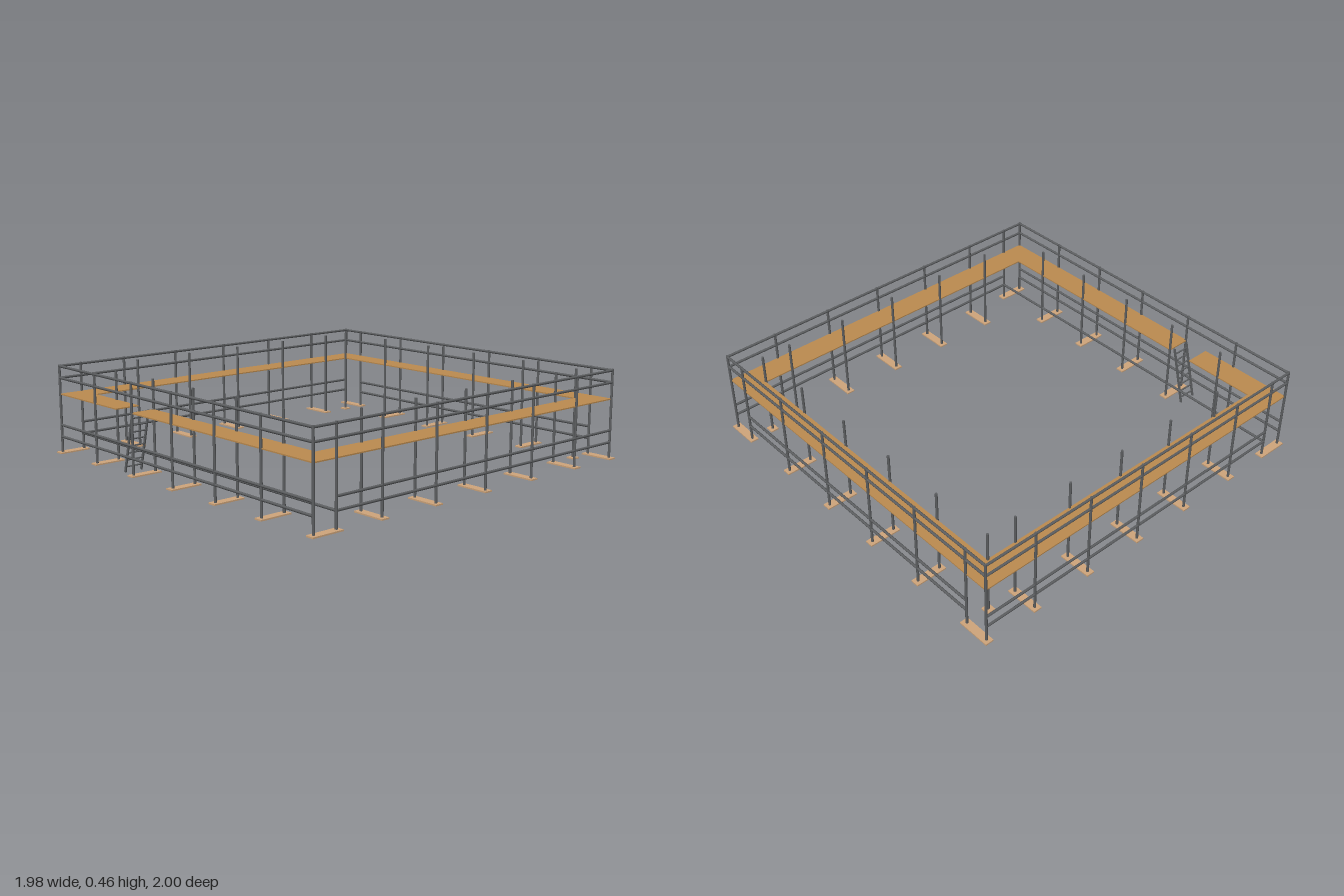
import * as THREE from 'three';

export function createModel() {
  const root = new THREE.Group();
  const mat = (color) => new THREE.MeshStandardMaterial({ color });
  const steel = mat(0x5c5e60), deckWood = mat(0xbd8c50), soleWood = mat(0xd0a67c);

  // Outer and inner tube lines of the walkway
  const X = 0.968, XI = 0.84, ZF = 0.976, ZFI = 0.853, ZB = -0.98, ZBI = -0.857;
  const TOP = 0.455, DECK = 0.305, R = 0.0065;

  const group = (name) => {
    const g = new THREE.Group();
    g.name = name;
    root.add(g);
    return g;
  };
  const posts = group('posts'), plates = group('solePlates'), guard = group('guardRails');
  const ledgers = group('lowerRails'), deck = group('deck'), ladder = group('ladder');

  function tube(parent, name, a, b, r = R) {
    const p = new THREE.Vector3(...a), q = new THREE.Vector3(...b);
    const mesh = new THREE.Mesh(new THREE.CylinderGeometry(r, r, p.distanceTo(q), 10), steel);
    mesh.position.copy(p).lerp(q, 0.5);
    mesh.quaternion.setFromUnitVectors(new THREE.Vector3(0, 1, 0), q.sub(p).normalize());
    mesh.name = name;
    parent.add(mesh);
  }
  // Box from its x, y and z ranges
  function slab(parent, name, x0, x1, y0, y1, z0, z1, material) {
    const mesh = new THREE.Mesh(new THREE.BoxGeometry(x1 - x0, y1 - y0, z1 - z0), material);
    mesh.position.set((x0 + x1) / 2, (y0 + y1) / 2, (z0 + z1) / 2);
    mesh.name = name;
    parent.add(mesh);
  }
  // One or two posts standing on a shared plate
  function frame(xa, za, xb, zb) {
    const m = 0.0215;
    slab(plates, 'solePlate', Math.min(xa, xb) - m, Math.max(xa, xb) + m, 0, 0.007,
      Math.min(za, zb) - m, Math.max(za, zb) + m, soleWood);
    tube(posts, 'post', [xa, 0.004, za], [xa, TOP, za]);
    if (xa !== xb || za !== zb) tube(posts, 'post', [xb, 0.004, zb], [xb, TOP, zb]);
  }

  // Post pairs along the four runs
  for (const x of [-0.64, -0.32, 0, 0.32, 0.64]) frame(x, ZF, x, ZFI);
  for (const x of [-0.505, -0.168, 0.168, 0.505]) frame(x, ZB, x, ZBI);
  for (const s of [-1, 1]) {
    for (const z of [-0.7, -0.375, -0.053, 0.27, 0.595]) frame(s * X, z, s * XI, z);
    // Corners
    frame(s * X, ZF, s * X, ZFI);
    frame(s * X, ZB, s * XI, ZB);
    frame(s * XI, ZBI, s * XI, ZBI);
  }

  // Guard rails right round the outside
  for (const y of [0.388, 0.448]) {
    for (const z of [ZF, ZB]) tube(guard, 'guardRail', [-X, y, z], [X, y, z]);
    for (const s of [-1, 1]) tube(guard, 'guardRail', [s * X, y, ZB], [s * X, y, ZF]);
  }

  // Lower rails on the outside, open at the ends of the corner frames
  for (const y of [0.086, 0.146]) {
    tube(ledgers, 'lowerRail', [-X, y, ZF], [X, y, ZF]);
    tube(ledgers, 'lowerRail', [-XI, y, ZB], [XI, y, ZB]);
    for (const s of [-1, 1]) tube(ledgers, 'lowerRail', [s * X, y, ZB], [s * X, y, ZFI]);
  }
  // Inner ledger behind the ladder run
  tube(ledgers, 'innerRail', [-X, 0.086, ZFI], [X, 0.086, ZFI]);

  // Deck boards, with the ladder opening in the front run
  const D = DECK - 0.004, U = DECK + 0.002;
  slab(deck, 'backDeck', -X, X, D, U, ZB, -0.86, deckWood);
  slab(deck, 'frontDeckRight', -X, -0.455, D, U, 0.85, ZF, deckWood);
  slab(deck, 'frontDeckLeft', -0.325, X, D, U, 0.85, ZF, deckWood);
  for (const s of [-1, 1]) {
    const a = s * X, b = s * 0.838;
    slab(deck, 'sideDeck', Math.min(a, b), Math.max(a, b), D, U, -0.86, 0.85, deckWood);
  }

  // Leaning ladder
  const x0 = -0.413, x1 = -0.335, yTop = 0.303, zNear = 0.962, zFar = 0.872;
  const lean = Math.atan2(x1 - x0, yTop);
  for (const z of [zNear, zFar]) {
    const stile = new THREE.Mesh(
      new THREE.BoxGeometry(0.013, Math.hypot(x1 - x0, yTop), 0.006), steel);
    stile.position.set((x0 + x1) / 2, yTop / 2 + 0.002, z);
    stile.rotation.z = -lean;
    stile.name = 'ladderStile';
    ladder.add(stile);
  }
  for (let i = 0; i < 8; i++) {
    const y = 0.03 + i * 0.035, x = x0 + (x1 - x0) * (y / yTop);
    tube(ladder, 'ladderRung', [x, y, zFar], [x, y, zNear], 0.004);
  }
  return root;
}
